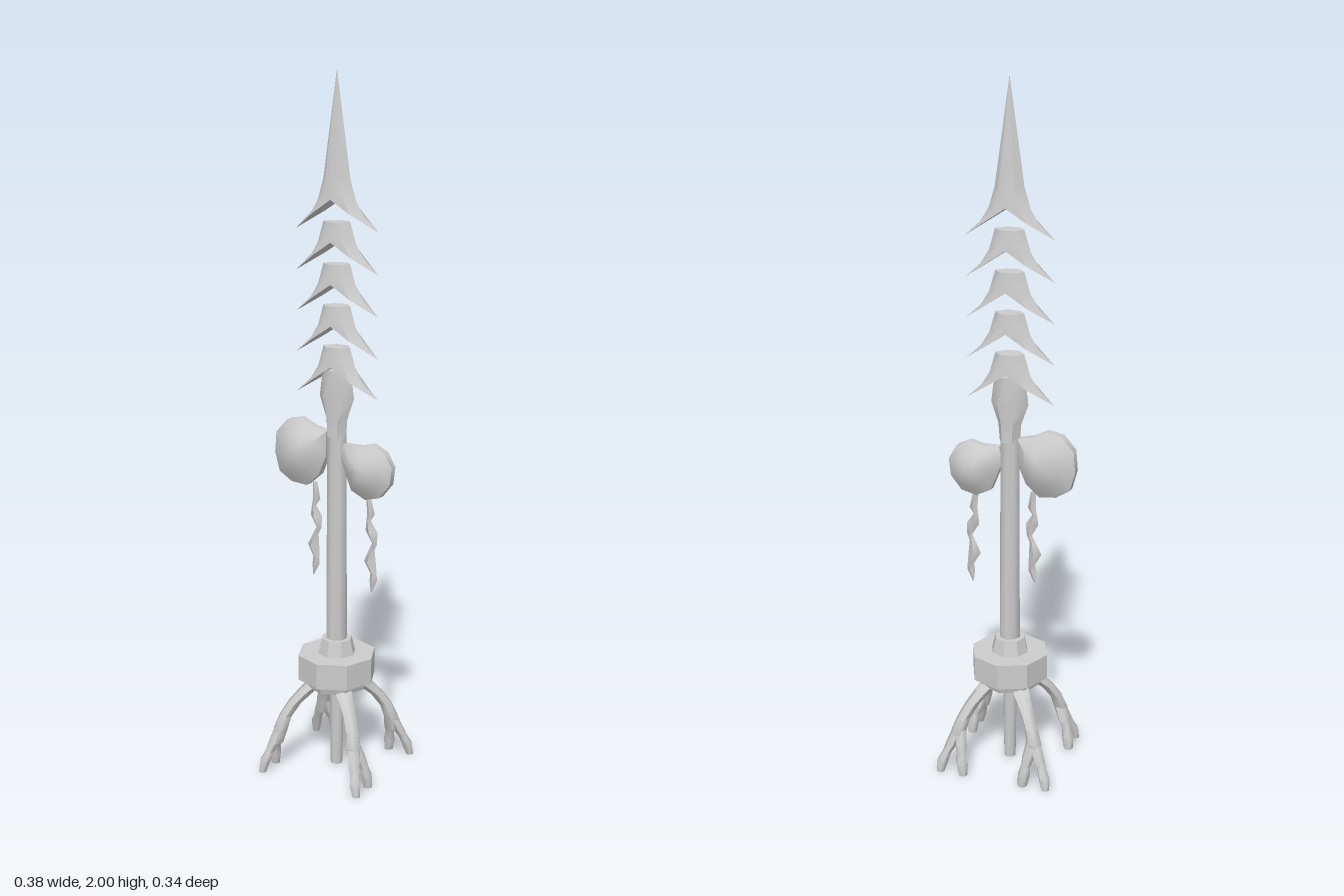
import * as THREE from 'three';
import { toCreasedNormals } from 'three/addons/utils/BufferGeometryUtils.js';

const material = new THREE.MeshStandardMaterial({ color: 0xcccccc });

// Closed skin over a list of equal-length rings, capped at both ends
function loft(rings, crease = 0.75) {
  const n = rings[0].length;
  const mid = (r, y) => {
    const c = r.reduce((s, p) => s.add(p), new THREE.Vector3()).divideScalar(n);
    if (y !== undefined) c.y = y;
    return c;
  };
  const pts = [...rings.flat(), mid(rings[0], rings[0].capY), mid(rings[rings.length - 1])];
  const index = [], first = rings.length * n, top = (rings.length - 1) * n;
  for (let j = 0; j < n; j++) {
    const k = (j + 1) % n;
    for (let i = 0; i < top; i += n) {
      index.push(i + j, i + n + j, i + k, i + k, i + n + j, i + n + k);
    }
    index.push(first, j, k, first + 1, top + k, top + j);
  }
  const g = new THREE.BufferGeometry().setFromPoints(pts).setIndex(index);
  return toCreasedNormals(g, crease);
}

// Horizontal ring around a point
function ring([x, y, z, rx, rz = rx], sides) {
  return Array.from({ length: sides }, (_, i) => {
    const a = (i / sides) * Math.PI * 2;
    return new THREE.Vector3(x + rx * Math.cos(a), y, z + rz * Math.sin(a));
  });
}

// Limb given from top to bottom as [x, y, z, rx, rz]
const limb = (stations, sides = 6) => loft(stations.map((s) => ring(s, sides)).reverse(), 1.1);

// Flat eight-point blade section whose centre may sit higher than its edges
function bladeRing(w, d, yEdge, yMid, inner = 0.5) {
  const xs = [1, inner, 0, -inner, -1, -inner, 0, inner];
  const zs = [0, 0.9, 1, 0.9, 0, -0.9, -1, -0.9];
  const r = xs.map((x, i) => new THREE.Vector3(x * w, yMid + (yEdge - yMid) * Math.abs(x), zs[i] * d));
  r.capY = yMid;
  return r;
}

export function createModel() {
  const model = new THREE.Group();
  const add = (name, geometry, parent = model) => {
    const mesh = new THREE.Mesh(geometry, material);
    mesh.name = name;
    parent.add(mesh);
    return mesh;
  };
  const cx = 0.007;

  // Blade: stacked barbed segments, the first drawn out into the point
  const blade = new THREE.Group();
  blade.name = 'blade';
  blade.position.x = cx;
  model.add(blade);
  for (let i = 0; i < 5; i++) {
    const y = 1.575 - i * 0.115;
    const rings = [
      bladeRing(0.13, 0.036, y, y + 0.085, 0.45),
      bladeRing(0.085, 0.035, y + 0.04, y + 0.1, 0.55),
      bladeRing(0.06, 0.033, y + 0.08, y + 0.115),
      bladeRing(0.042, 0.03, y + 0.14, y + 0.14),
    ];
    if (i === 0) rings.push(bladeRing(0.0005, 0.0005, 2, 2));
    add('barbedSegment', loft(rings), blade);
  }
  add('bladeBase', loft([
    bladeRing(0.03, 0.03, 1, 1),
    bladeRing(0.034, 0.028, 1.05, 1.05),
    bladeRing(0.055, 0.033, 1.11, 1.11),
    bladeRing(0.045, 0.03, 1.19, 1.19),
  ]), blade);

  // Shaft and stepped collar
  const column = (name, rTop, rBottom, y0, y1, crease) => {
    const g = new THREE.CylinderGeometry(rTop, rBottom, y1 - y0, 8);
    const mesh = add(name, toCreasedNormals(g, crease));
    mesh.position.set(cx, (y0 + y1) / 2, 0);
  };
  column('shaft', 0.028, 0.031, 0.38, 1.03, 1);
  column('lowerShaft', 0.022, 0.018, 0, 0.28, 1);
  column('collarTop', 0.045, 0.057, 0.345, 0.395, 0.6);
  column('collar', 0.115, 0.115, 0.275, 0.35, 0.6);
  column('collarUnderside', 0.1, 0.09, 0.25, 0.28, 0.6);
  column('collarRoot', 0.09, 0.04, 0.23, 0.25, 0.6);

  // Lens-shaped lobes either side of the shaft, outlines run clockwise
  const lobe = (name, outline, px, py, depth) => {
    const levels = [[-1, 0.25], [-0.72, 0.62], [-0.25, 1], [0.25, 1], [0.72, 0.62], [1, 0.25]];
    add(name, loft(levels.map(([z, s]) => outline.map(([x, y]) =>
      new THREE.Vector3(px + (x - px) * s, py + (y - py) * s, z * depth))), 0.8));
  };
  lobe('rightLobe', [
    [-0.19, 0.93], [-0.185, 0.99], [-0.15, 1.03], [-0.105, 1.04], [-0.065, 1.02], [-0.02, 1.01],
    [-0.02, 0.94], [-0.045, 0.88], [-0.085, 0.845], [-0.135, 0.85], [-0.175, 0.875],
  ], -0.095, 0.945, 0.052);
  lobe('leftLobe', [
    [0.025, 0.94], [0.035, 0.98], [0.09, 0.98], [0.125, 0.99], [0.165, 0.97], [0.188, 0.93],
    [0.182, 0.88], [0.15, 0.84], [0.105, 0.828], [0.06, 0.85], [0.04, 0.9],
  ], 0.11, 0.91, 0.046);

  // Twisted hanging tassels
  const tassel = (name, x, y, lean) => {
    const shape = [[0, 0, 0.008], [0.005, 0.05, 0.012], [-0.004, 0.07, 0.007], [0.004, 0.1, 0.019],
      [0.012, 0.135, 0.008], [0.002, 0.155, 0.009], [-0.006, 0.19, 0.019], [0.004, 0.225, 0.01],
      [0.002, 0.245, 0.012], [-0.006, 0.28, 0.002]];
    add(name, limb(shape.map(([dx, dy, r]) => [x + dx + lean * dy, y - dy, 0, r, r * 0.9]), 4));
  };
  tassel('rightTassel', -0.064, 0.855, 0);
  tassel('leftTassel', 0.11, 0.835, 0.06);

  // Four clawed legs, each with two knuckled toes
  const leg = [[0.04, 0.265, 0.04, 0.03], [0.065, 0.24, 0.06, 0.025], [0.092, 0.205, 0.085, 0.021],
    [0.112, 0.165, 0.105, 0.02], [0.122, 0.125, 0.117, 0.023], [0.127, 0.085, 0.122, 0.016]];
  const outerToe = [[0.122, 0.13, 0.118, 0.018], [0.134, 0.085, 0.135, 0.018], [0.142, 0.06, 0.147, 0.014],
    [0.15, 0.035, 0.157, 0.017], [0.157, 0, 0.163, 0.012]];
  const innerToe = [[0.122, 0.13, 0.112, 0.018], [0.138, 0.085, 0.104, 0.018], [0.148, 0.06, 0.1, 0.014],
    [0.153, 0.035, 0.096, 0.018], [0.156, 0, 0.092, 0.014]];
  for (const side of [1, -1]) {
    for (const front of [true, false]) {
      const group = new THREE.Group();
      group.name = (front ? 'front' : 'back') + (side > 0 ? 'Left' : 'Right') + 'Leg';
      group.position.x = cx;
      model.add(group);
      const place = (list) => limb(list.map(([x, y, z, r]) =>
        front ? [x * side, y, z, r] : [z * side, y, -x, r]));
      add('shin', place(leg), group);
      add('outerToe', place(outerToe), group);
      add('innerToe', place(innerToe), group);
    }
  }
  return model;
}
